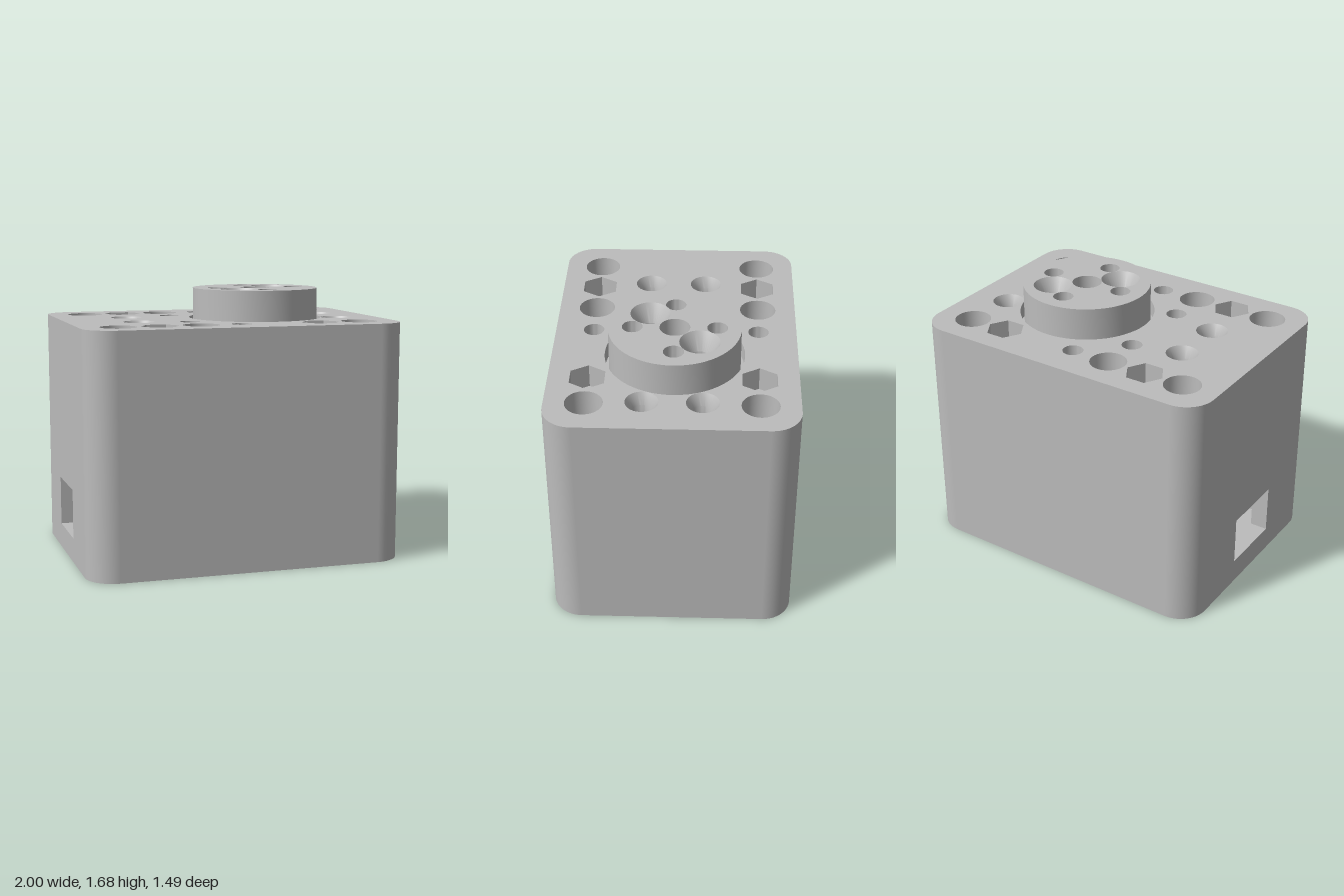
import * as THREE from 'three';
import { toCreasedNormals } from 'three/addons/utils/BufferGeometryUtils.js';

const W = 1, D = 0.745, H = 1.49, R = 0.18;      // body half width, half depth, height, corner radius
const TOP = 1.68, BX = 0.25, BR = 0.4, GR = 0.425; // boss top, centre, radius and groove radius

export function createModel() {
  const group = new THREE.Group();
  const grey = new THREE.MeshStandardMaterial({ color: 0xbcbcbc });
  grey.name = 'grey plastic';

  const add = (name, geometry, x = 0, y = 0, z = 0) => {
    const mesh = new THREE.Mesh(geometry, grey);
    mesh.name = name;
    mesh.position.set(x, y, z);
    group.add(mesh);
    return mesh;
  };

  // Outlines in x and z
  const ring = (x, z, r, n = 40, turn = 0) => Array.from({ length: n }, (_, i) => {
    const a = turn + (i / n) * Math.PI * 2;
    return new THREE.Vector2(x + r * Math.cos(a), z + r * Math.sin(a));
  });
  const plate = (outline, holes, down = false) => {
    const flip = (pts) => pts.map((p) => new THREE.Vector2(p.x, down ? p.y : -p.y));
    const shape = new THREE.Shape(flip(outline));
    holes.forEach((h) => shape.holes.push(new THREE.Path(flip(h))));
    return new THREE.ShapeGeometry(shape).rotateX(down ? Math.PI / 2 : -Math.PI / 2);
  };

  // Turned surface; a profile running downwards faces inwards
  const turned = (profile, n = 40) => toCreasedNormals(
    new THREE.LatheGeometry(profile.map(([r, y]) => new THREE.Vector2(r, y)), n), 0.5);

  // Box seen from inside, with the chosen faces left open
  const hollow = (x0, x1, y0, y1, z, open) => {
    const box = new THREE.BoxGeometry(x1 - x0, y1 - y0, z * 2);
    const old = box.index.array, index = [];
    for (let f = 0; f < 6; f++) {
      if (open.includes(f)) continue;
      for (let i = f * 6; i < f * 6 + 6; i += 3) index.push(old[i], old[i + 2], old[i + 1]);
    }
    box.setIndex(index);
    box.computeVertexNormals();
    return box.translate((x0 + x1) / 2, (y0 + y1) / 2, 0);
  };

  const topHoles = [], bottomHoles = [], bossHoles = [];

  // Through holes along both long edges
  for (const z of [-0.51, 0.51]) {
    for (const [x, r] of [[-0.765, 0.112], [-0.255, 0.112], [0, 0.063], [0.765, 0.112]]) {
      topHoles.push(ring(x, z, r));
      bottomHoles.push(ring(x, z, r));
      add('throughHole', turned([[r, H], [r, 0]]), x, 0, z);
    }
    // Nut pockets with a square step, a bolt hole and a counterbore below
    for (const x of [-0.51, 0.51]) {
      const hex = 0.12, sq = 0.088, y1 = H - 0.15, y2 = y1 - 0.03;
      topHoles.push(ring(x, z, hex, 6));
      bottomHoles.push(ring(x, z, 0.108));
      add('nutPocket', turned([[hex, H], [hex, y1]], 6).rotateY(Math.PI / 2), x, 0, z);
      add('nutPocketFloor', plate(ring(0, 0, hex, 6), [ring(0, 0, sq, 4, Math.PI / 4)]), x, y1, z);
      add('squareStep', turned([[sq, y1], [sq, y2]], 4).rotateY(Math.PI / 4), x, 0, z);
      add('squareStepFloor', plate(ring(0, 0, sq, 4, Math.PI / 4), [ring(0, 0, 0.06)]), x, y2, z);
      add('boltHole', turned([[0.06, y2], [0.06, 0.3], [0.108, 0.3], [0.108, 0]]), x, 0, z);
    }
  }

  // Countersunk screw holes and small blind holes in the top
  for (const side of [-1, 1]) {
    for (const x of [-0.56, 0.745]) {
      const z = side * 0.177;
      topHoles.push(ring(x, z, 0.098));
      add('screwHole', turned([[0.098, H], [0.062, H - 0.07], [0.062, H - 0.22], [0, H - 0.22]]), x, 0, z);
    }
    topHoles.push(ring(-0.255, side * 0.255, 0.063));
    add('blindHole', turned([[0.063, H], [0.063, H - 0.22], [0, H - 0.22]]), -0.255, 0, side * 0.255);
  }

  // Groove around the boss, and the boss wall
  topHoles.push(ring(BX, 0, GR, 64));
  add('bossGroove', turned([[GR, H], [GR, H - 0.1], [BR, H - 0.1]], 64), BX);
  add('bossWall', turned([[BR, H - 0.1], [BR, TOP]], 64), BX);

  // Holes in the boss
  const bossHole = (name, x, z, profile) => {
    bossHoles.push(ring(x, z, profile[0][0]));
    add(name, turned(profile), x, 0, z);
  };
  for (const [x, z] of [[0, 0], [0.508, 0], [BX, -0.255], [BX, 0.255]]) {
    bossHole('bossPinHole', x, z, [[0.062, TOP], [0.062, TOP - 0.25], [0, TOP - 0.25]]);
  }
  for (const s of [-1, 1]) {
    bossHole('bossScrewHole', BX + s * 0.152, -s * 0.152,
      [[0.122, TOP], [0.062, TOP - 0.11], [0.062, TOP - 0.25], [0, TOP - 0.25]]);
  }
  bossHole('bossCentreHole', BX, 0,
    [[0.092, TOP], [0.092, TOP - 0.12], [0.042, TOP - 0.12], [0.042, TOP - 0.25], [0, TOP - 0.25]]);
  add('bossTop', plate(ring(BX, 0, BR, 64), bossHoles), 0, TOP);

  // Rounded body: end plates, corners and flat sides
  const outline = [];
  [[1, 1], [-1, 1], [-1, -1], [1, -1]].forEach(([sx, sz], k) => {
    for (let i = 0; i <= 12; i++) {
      const a = (k + i / 12) * Math.PI / 2;
      outline.push(new THREE.Vector2(sx * (W - R) + R * Math.cos(a), sz * (D - R) + R * Math.sin(a)));
    }
    const start = Math.atan2(sx, sz) - Math.PI / 4;
    add('bodyCorner', new THREE.CylinderGeometry(R, R, H, 12, 1, true, start, Math.PI / 2),
      sx * (W - R), H / 2, sz * (D - R));
  });
  add('bodyTop', plate(outline, topHoles), 0, H);
  add('bodyBottom', plate(outline, bottomHoles, true));
  add('bodyFront', new THREE.PlaneGeometry(2 * (W - R), H), 0, H / 2, D);
  add('bodyBack', new THREE.PlaneGeometry(2 * (W - R), H).rotateY(Math.PI), 0, H / 2, -D);
  add('bodyLeft', new THREE.PlaneGeometry(2 * (D - R), H).rotateY(Math.PI / 2), W, H / 2, 0);

  // Right side with a cable port leading into the inner room
  const pz = 0.21, p0 = 0.155, p1 = 0.463, w = D - R;
  const rect = (a, y0, y1) => [[-a, y0], [a, y0], [a, y1], [-a, y1]].map(([x, y]) => new THREE.Vector2(x, y));
  const side = new THREE.Shape(rect(w, 0, H));
  side.holes.push(new THREE.Path(rect(pz, p0, p1)));
  add('bodyRight', new THREE.ShapeGeometry(side).rotateY(-Math.PI / 2), -W);
  add('cablePort', hollow(-W, -0.89, p0, p1, pz, [0, 1]));
  add('innerRoom', hollow(-0.89, 0.85, 0.13, 1.2, 0.39, [1]));

  return group;
}
